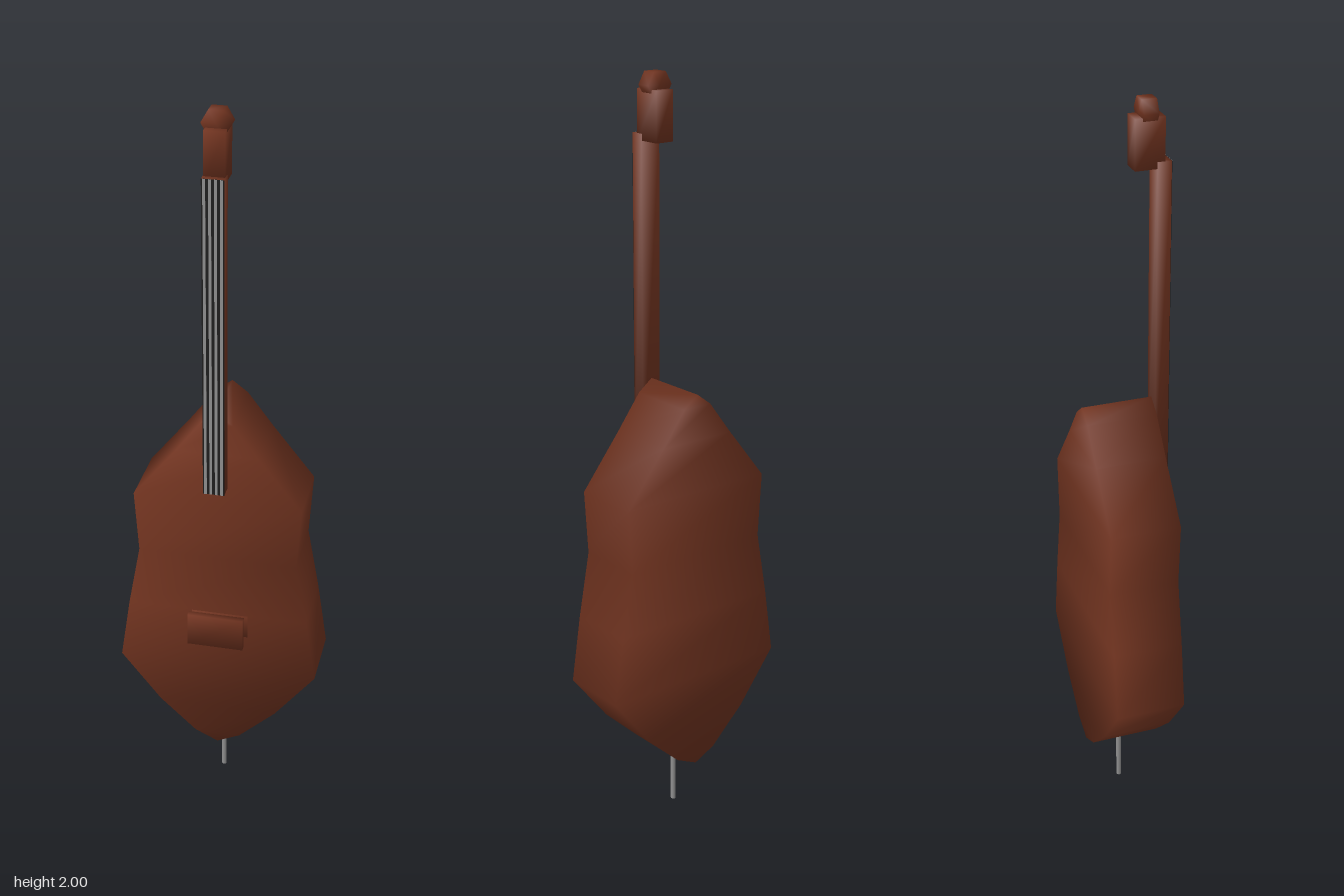
import * as THREE from 'three';
import { mergeVertices } from 'three/addons/utils/BufferGeometryUtils.js';

const mat = (name, color) => {
  const m = new THREE.MeshStandardMaterial({ color });
  m.name = name;
  return m;
};

// Box whose shading runs softly over the edges
function softBox(w, h, d) {
  const g = new THREE.BoxGeometry(w, h, d);
  const p = g.attributes.position, n = g.attributes.normal, v = new THREE.Vector3();
  for (let i = 0; i < p.count; i++) {
    v.set(Math.sign(p.getX(i)), Math.sign(p.getY(i)), Math.sign(p.getZ(i))).normalize();
    n.setXYZ(i, v.x, v.y, v.z);
  }
  return g;
}

// Body lofted upwards from rows of [half width, height], softly shaded
function loftBody(rows, zFront, zBack) {
  const pos = [], nor = [], index = [];
  rows.forEach(([w, y], i) => {
    const prev = rows[i - 1] || [-rows[1][0], rows[1][1]];
    const next = rows[i + 1] || [-rows[i - 1][0], rows[i - 1][1]];
    const out = new THREE.Vector2(next[1] - prev[1], prev[0] - next[0]).normalize();
    for (const [sx, sz] of [[1, 1], [-1, 1], [-1, -1], [1, -1]]) {
      pos.push(sx * w, y, sz > 0 ? zFront : zBack);
      nor.push(sx * out.x * Math.SQRT1_2, out.y * Math.SQRT1_2, sz * Math.SQRT1_2);
    }
    if (i === rows.length - 1) return;
    for (let j = 0; j < 4; j++) {
      const a = i * 4 + j, b = i * 4 + (j + 1) % 4;
      index.push(b, a, a + 4, b, a + 4, b + 4);
    }
  });
  const g = new THREE.BufferGeometry();
  g.setAttribute('position', new THREE.Float32BufferAttribute(pos, 3));
  g.setAttribute('normal', new THREE.Float32BufferAttribute(nor, 3));
  g.setIndex(index);
  return g;
}

export function createModel() {
  const group = new THREE.Group();
  const wood = mat('varnished wood', 0x723420);
  const ebony = mat('ebony', 0x1f1e1e);
  const steel = mat('steel', 0x909090);

  const add = (name, geometry, material, x = 0, y = 0, z = 0) => {
    const mesh = new THREE.Mesh(geometry, material);
    mesh.name = name;
    mesh.position.set(x, y, z);
    group.add(mesh);
  };
  // Box given by its limits
  const box = (name, material, [x0, x1], [y0, y1], [z0, z1], make = softBox) =>
    add(name, make(x1 - x0, y1 - y0, z1 - z0), material, (x0 + x1) / 2, (y0 + y1) / 2, (z0 + z1) / 2);
  const plate = (w, h, d) => new THREE.BoxGeometry(w, h, d);

  // Body with pinched waist
  const rows = [[0, 0.155], [0.063, 0.185], [0.163, 0.28], [0.272, 0.42], [0.245, 0.6],
    [0.213, 0.775], [0.224, 0.947], [0.11, 1.09], [0.042, 1.18], [0, 1.212]];
  add('body', loftBody(rows, 0.074, -0.114), wood);

  // Neck, with thin fingerboard and four flat strings on its face
  box('neck', wood, [-0.028, 0.028], [0.995, 1.847], [0.075, 0.111]);
  box('fingerboard', ebony, [-0.028, 0.028], [0.995, 1.847], [0.111, 0.112], plate);
  for (let i = 0; i < 4; i++) {
    const x = (i - 1.5) * 0.014;
    box('string', steel, [x - 0.0035, x + 0.0035], [0.995, 1.847], [0.112, 0.113], plate);
  }

  // Bridge, and the tailpiece lying behind it on the body
  box('bridge', wood, [-0.076, 0.076], [0.505, 0.6], [0.085, 0.103]);
  box('tailpiece', wood, [-0.07, 0.084], [0.53, 0.598], [0.066, 0.075]);

  // Peg box and six-sided scroll
  box('pegBox', wood, [-0.026, 0.026], [1.83, 1.957], [0.018, 0.095]);
  const scroll = new THREE.CylinderGeometry(0.037, 0.037, 0.038, 6, 1, false, Math.PI / 6);
  scroll.rotateX(Math.PI / 2);
  scroll.deleteAttribute('uv');
  scroll.deleteAttribute('normal');
  const softScroll = mergeVertices(scroll, 1e-4);
  softScroll.computeVertexNormals();
  add('scroll', softScroll, wood, 0, 1.968, 0.056);

  // End pin
  add('endPin', new THREE.CylinderGeometry(0.007, 0.007, 0.18, 8), steel, 0, 0.09, -0.017);

  return group;
}
